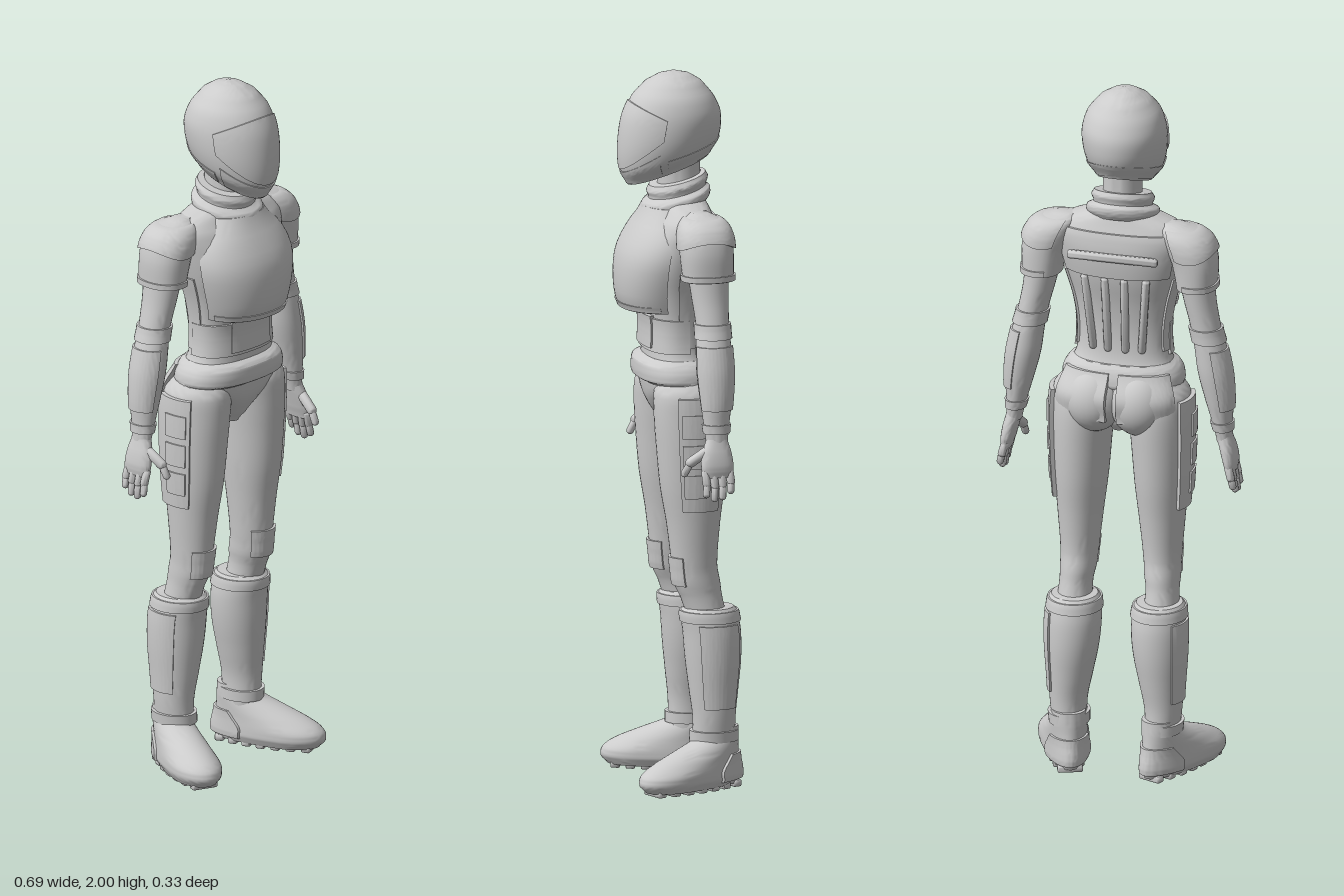
import * as THREE from 'three';
import { toCreasedNormals } from 'three/addons/utils/BufferGeometryUtils.js';
import { RoundedBoxGeometry } from 'three/addons/geometries/RoundedBoxGeometry.js';

const V = (x, y, z) => new THREE.Vector3(x, y, z);
const spow = (v, p) => Math.sign(v) * Math.abs(v) ** p;
const at = (f, a) => (typeof f === 'function' ? f(a) : f);

// Cross-section rows, bottom to top: [y, centreX, radiusX, frontZ, backZ, midZ?, tilt?]
const rowsOf = (list) => list.map(([y, cx, rx, f, b, mid = (f + b) / 2, tilt = 0]) => [y, cx, rx, f, b, mid, tilt]);

// Smoothly interpolated cross-section at height y
function sample(rows, y) {
  let i = 0;
  while (i < rows.length - 2 && y > rows[i + 1][0]) i++;
  const t = (y - rows[i][0]) / (rows[i + 1][0] - rows[i][0]);
  const p = [i - 1, i, i + 1, i + 2].map((k) => rows[Math.min(Math.max(k, 0), rows.length - 1)]);
  return p[1].map((v, c) => v + 0.5 * t * (p[2][c] - p[0][c]
    + t * (2 * p[0][c] - 5 * v + 4 * p[2][c] - p[3][c] + t * (3 * (v - p[2][c]) + p[3][c] - p[0][c]))));
}

// Point on a section at angle a (0 is the front, positive towards +x)
function point(rows, y, a, grow, pw) {
  const [, cx, rx, f, b, mid, tilt] = sample(rows, y);
  const c = spow(Math.cos(a), pw);
  const z = mid + c * (c > 0 ? f - mid + grow : mid - b + grow);
  return [cx + spow(Math.sin(a), pw) * (rx + grow), y - tilt * z, z];
}

function grid(fn, rows, cols) {
  const pos = [], idx = [];
  for (let i = 0; i <= rows; i++) for (let j = 0; j <= cols; j++) pos.push(...fn(i, j));
  for (let i = 0; i < rows; i++) for (let j = 0; j < cols; j++) {
    const a = i * (cols + 1) + j, d = a + cols + 1;
    idx.push(a, a + 1, d + 1, a, d + 1, d);
  }
  const g = new THREE.BufferGeometry();
  g.setAttribute('position', new THREE.Float32BufferAttribute(pos, 3));
  g.setIndex(idx);
  return g;
}

// Closed body through the rows, capped at both ends
function loft(list, pw = 1, cols = 36, steps = 4) {
  const rows = rowsOf(list), ys = [];
  for (let i = 0; i < rows.length - 1; i++)
    for (let s = 0; s < steps; s++) ys.push(rows[i][0] + (rows[i + 1][0] - rows[i][0]) * s / steps);
  ys.push(rows.at(-1)[0]);
  const n = ys.length;
  return grid((i, j) => {
    const k = Math.min(Math.max(i - 1, 0), n - 1);
    const p = point(rows, ys[k], (j % cols) / cols * Math.PI * 2, 0, pw);
    if (i > 0 && i <= n) return p;
    const s = sample(rows, ys[k]);
    return [s[1], ys[k] - s[6] * s[5], s[5]];
  }, n + 1, cols);
}

// Raised plate over part of a body; its rim folds inwards
function shell(list, y0, y1, a0, a1, grow, { pw = 1, inset = 0.015, nv = 14, nu = 30 } = {}) {
  const rows = rowsOf(list);
  return grid((i, j) => {
    const u = Math.min(Math.max((j - 1) / (nu - 2), 0), 1), v = Math.min(Math.max((i - 1) / (nv - 2), 0), 1);
    const a = a0 + (a1 - a0) * u, lo = at(y0, a), hi = at(y1, a);
    const rim = i === 0 || i === nv || j === 0 || j === nu;
    return point(rows, lo + (hi - lo) * v, a, rim ? grow - inset : grow, pw);
  }, nv, nu);
}

// Rounded limb between two points
function rod(a, b, r) {
  const d = b.clone().sub(a), g = new THREE.CapsuleGeometry(r, d.length(), 5, 12);
  g.applyQuaternion(new THREE.Quaternion().setFromUnitVectors(V(0, 1, 0), d.normalize()));
  return g.translate(...a.clone().add(b).multiplyScalar(0.5));
}
const ball = (x, y, z, rx, ry, rz) => new THREE.SphereGeometry(1, 28, 18).scale(rx, ry, rz).translate(x, y, z);
const box = (w, h, d, x, y, z, r = 0.008) => new RoundedBoxGeometry(w, h, d, 3, r).translate(x, y, z);

// Mirror across x = 0, keeping faces outward
function mirrored(g) {
  const m = g.clone().scale(-1, 1, 1);
  for (const name of ['position', 'normal']) {
    const { array } = m.attributes[name];
    for (let i = 0; i < array.length; i += 9)
      for (let c = 3; c < 6; c++) [array[i + c], array[i + c + 3]] = [array[i + c + 3], array[i + c]];
  }
  return m;
}

export function createModel() {
  const root = new THREE.Group();
  const mat = new THREE.MeshStandardMaterial({ color: 0xcccccc, side: THREE.DoubleSide });
  const put = (name, g) => {
    g.deleteAttribute('uv');
    const geo = toCreasedNormals(g, 0.75), mesh = new THREE.Mesh(geo, mat);
    mesh.name = name;
    root.add(mesh);
    return geo;
  };
  const pair = (name, g) => {
    const mesh = new THREE.Mesh(mirrored(put('left ' + name, g)), mat);
    mesh.name = 'right ' + name;
    root.add(mesh);
  };

  // Helmet, visor and rim
  const helmet = [[1.73, 0, 0.07, 0.13, -0.1, 0, 0.35], [1.77, 0, 0.1, 0.15, -0.124, 0.01, 0.3],
    [1.82, 0, 0.114, 0.154, -0.132, 0.01, 0.18], [1.88, 0, 0.116, 0.143, -0.13, 0, 0.05],
    [1.93, 0, 0.102, 0.117, -0.11, 0, 0], [1.97, 0, 0.07, 0.08, -0.077], [1.99, 0, 0.038, 0.044, -0.044], [2, 0, 0.004, 0.005, -0.005]];
  put('helmet', loft(helmet, 1, 48));
  put('visor', shell(helmet, (a) => 1.775 + 0.035 * a * a, (a) => 1.92 - 0.025 * a * a, -1.25, 1.25, 0.004));
  put('chin guard', shell(helmet, 1.735, (a) => 1.768 + 0.02 * a * a, -1.2, 1.2, 0.003));
  put('helmet rear rim', shell(helmet, 1.735, 1.775, 1.35, Math.PI * 2 - 1.35, 0.003));

  // Neck and tilted collar
  put('neck', loft([[1.6, 0, 0.06, 0.05, -0.08], [1.7, 0, 0.054, 0.045, -0.075], [1.79, 0, 0.055, 0.05, -0.075]]));
  put('collar', loft([[1.615, 0, 0.09, 0.075, -0.09, -0.01, 0.25], [1.63, 0, 0.102, 0.09, -0.1, -0.01, 0.25],
    [1.65, 0, 0.1, 0.088, -0.1, -0.01, 0.25], [1.66, 0, 0.083, 0.07, -0.09, -0.01, 0.25],
    [1.68, 0, 0.088, 0.075, -0.095, -0.01, 0.25], [1.695, 0, 0.08, 0.068, -0.088, -0.01, 0.25]]));

  // Torso with chest, waist and back armour
  const torso = [[1.1, 0, 0.16, 0.08, -0.1], [1.16, 0, 0.16, 0.085, -0.1], [1.22, 0, 0.133, 0.082, -0.078],
    [1.3, 0, 0.128, 0.08, -0.073], [1.38, 0, 0.14, 0.095, -0.082], [1.46, 0, 0.163, 0.11, -0.1],
    [1.54, 0, 0.182, 0.095, -0.108], [1.59, 0, 0.19, 0.07, -0.102], [1.62, 0, 0.16, 0.05, -0.09],
    [1.645, 0, 0.095, 0.04, -0.08], [1.66, 0, 0.05, 0.02, -0.06]];
  put('torso', loft(torso, 0.85, 48));
  const chest = [[1.34, 0, 0.132, 0.15, -0.09], [1.37, 0, 0.142, 0.162, -0.09], [1.44, 0, 0.16, 0.165, -0.09],
    [1.5, 0, 0.168, 0.155, -0.09], [1.56, 0, 0.152, 0.125, -0.09], [1.625, 0, 0.1, 0.088, -0.09]];
  put('chest plate', shell(chest, 1.34, 1.625, -1.45, 1.45, 0, { inset: 0.06, pw: 0.9 }));
  put('chest plate lower trim', shell(chest, 1.342, 1.358, -1.3, 1.3, 0.004, { pw: 0.9, nv: 5 }));
  put('waist band', shell(torso, 1.225, 1.318, -1.7, 1.7, 0.008, { pw: 0.85 }));
  put('abdomen plate', shell(torso, 1.235, 1.325, -0.5, 0.5, 0.014, { pw: 0.85 }));
  put('upper back plate', shell(torso, 1.47, 1.6, Math.PI - 1, Math.PI + 1, 0.007, { pw: 0.85 }));
  put('back bar', box(0.26, 0.024, 0.02, 0, 1.535, -0.117));
  for (let i = 0; i < 2; i++) pair('back rib', rod(V(0.028 + i * 0.06, 1.46, -0.096 + i * 0.008), V(0.025 + i * 0.045, 1.25, -0.074 + i * 0.008), 0.011));
  pair('side strap', shell(torso, 1.24, 1.46, 1.45, 2, 0.006, { pw: 0.85, nu: 8 }));

  // Belt, pelvis and seat
  put('belt', loft([[1.135, 0, 0.16, 0.09, -0.1], [1.145, 0, 0.172, 0.108, -0.112], [1.175, 0, 0.168, 0.11, -0.108],
    [1.195, 0, 0.155, 0.106, -0.1], [1.205, 0, 0.14, 0.088, -0.09]], 0.85));
  put('pelvis', loft([[1.005, 0, 0.025, 0.03, -0.07], [1.03, 0, 0.045, 0.05, -0.09], [1.08, 0, 0.1, 0.078, -0.1],
    [1.12, 0, 0.165, 0.088, -0.11], [1.15, 0, 0.172, 0.09, -0.105]], 0.9));
  pair('buttock', ball(0.065, 1.095, -0.068, 0.085, 0.095, 0.082));
  const seat = [[1.06, 0, 0.18, 0.05, -0.138], [1.12, 0, 0.178, 0.05, -0.146], [1.19, 0, 0.155, 0.05, -0.108]];
  pair('seat flap', shell(seat, (a) => 1.05 + 0.02 * (Math.PI - a), 1.185, Math.PI - 1.25, Math.PI - 0.05, 0, { inset: 0.02, pw: 0.8 }));

  // Legs
  const leg = [[0.47, 0.125, 0.05, -0.01, -0.12], [0.54, 0.124, 0.046, 0.012, -0.105], [0.58, 0.121, 0.05, 0.03, -0.1],
    [0.63, 0.119, 0.053, 0.036, -0.092], [0.75, 0.117, 0.064, 0.05, -0.101], [0.85, 0.115, 0.074, 0.067, -0.114],
    [0.96, 0.113, 0.081, 0.077, -0.122], [1.06, 0.109, 0.086, 0.083, -0.125], [1.12, 0.103, 0.088, 0.08, -0.115], [1.16, 0.09, 0.07, 0.06, -0.09]];
  pair('leg', loft(leg));
  pair('knee cap', shell(leg, 0.575, 0.655, -0.9, 0.9, 0.007));
  pair('thigh panel', shell(leg, 0.79, 1.11, 1.05, 2.2, 0.012, { inset: 0.025 }));
  for (let i = 0; i < 3; i++) pair('thigh pouch', shell(leg, 0.83 + i * 0.085, 0.895 + i * 0.085, 1.15, 1.75, 0.017));

  // Boots
  const shin = [[0.12, 0.133, 0.047, -0.02, -0.14], [0.2, 0.136, 0.052, -0.02, -0.14], [0.27, 0.131, 0.061, -0.012, -0.148],
    [0.36, 0.125, 0.073, -0.002, -0.158], [0.44, 0.122, 0.077, 0.004, -0.158], [0.5, 0.122, 0.072, 0.01, -0.148], [0.51, 0.122, 0.064, 0, -0.138]];
  pair('boot shaft', loft(shin));
  pair('boot top cuff', shell(shin, 0.472, 0.502, 0, Math.PI * 2, 0.005, { nv: 6, nu: 40 }));
  pair('calf plate', shell(shin, 0.23, 0.465, 0.95, 2.4, 0.006));
  pair('ankle cuff', shell(shin, 0.135, 0.165, 0, Math.PI * 2, 0.009, { nv: 6, nu: 40 }));
  const toFoot = (g) => g.rotateY(0.38).translate(0.128, 0, -0.105);
  const shoe = [[0.012, 0, 0.058, 0.255, -0.052, 0.16], [0.03, 0, 0.068, 0.272, -0.06, 0.16], [0.055, 0, 0.069, 0.268, -0.058, 0.16],
    [0.08, 0, 0.063, 0.235, -0.052, 0.11], [0.11, 0, 0.056, 0.165, -0.048, 0.05], [0.14, 0, 0.05, 0.09, -0.046, 0.01], [0.175, 0, 0.046, 0.055, -0.044, 0]];
  pair('shoe', toFoot(loft(shoe)));
  pair('heel guard', toFoot(shell(shoe, 0.025, 0.1, Math.PI - 1, Math.PI + 1, 0.007)));
  for (let i = 0; i < 7; i++) {
    const z = -0.03 + i * 0.043;
    pair('sole tread', toFoot(box(0.07 + 0.035 * Math.sin(i * 0.5), 0.02, 0.026, 0, 0.011, z, 0.005)));
  }

  // Arms and shoulder armour
  const arm = [[1.0, 0.303, 0.022, -0.015, -0.075], [1.05, 0.296, 0.027, -0.01, -0.08], [1.12, 0.288, 0.039, -0.002, -0.09],
    [1.2, 0.275, 0.047, 0.005, -0.097], [1.27, 0.263, 0.045, 0.004, -0.095], [1.32, 0.251, 0.042, 0, -0.092],
    [1.4, 0.233, 0.044, 0.008, -0.095], [1.5, 0.215, 0.052, 0.02, -0.1], [1.57, 0.2, 0.06, 0.024, -0.1], [1.61, 0.18, 0.05, 0.01, -0.085]];
  pair('arm', loft(arm, 1, 28));
  pair('elbow band', shell(arm, 1.295, 1.335, 0, Math.PI * 2, 0.006, { nv: 8 }));
  pair('forearm guard', shell(arm, 1.1, 1.275, 0.3, 2.9, 0.005));
  pair('wrist band', shell(arm, 1.035, 1.06, 0, Math.PI * 2, 0.005, { nv: 6 }));
  const pad = [[1.45, 0.222, 0.055, 0.03, -0.112], [1.52, 0.216, 0.063, 0.036, -0.113], [1.565, 0.204, 0.068, 0.036, -0.112],
    [1.595, 0.19, 0.066, 0.028, -0.104], [1.615, 0.175, 0.055, 0.012, -0.088], [1.628, 0.155, 0.03, -0.01, -0.06]];
  pair('shoulder sleeve', loft(pad, 0.9, 32));
  pair('shoulder cap', shell(pad, (a) => 1.55 - 0.012 * Math.cos(2 * a), 1.618, -0.5, 3.6, 0.007, { pw: 0.9 }));
  pair('sleeve hem', shell(pad, 1.452, 1.468, -0.4, 3.5, 0.005, { pw: 0.9, nv: 6 }));

  // Hands
  pair('palm', loft([[0.915, 0.322, 0.012, -0.002, -0.084], [0.94, 0.32, 0.018, 0.004, -0.088], [0.98, 0.312, 0.021, 0, -0.084], [1.02, 0.302, 0.021, -0.015, -0.074]], 0.85, 24));
  for (let i = 0; i < 4; i++) {
    const z = -0.076 + i * 0.023, drop = [0.02, 0.004, 0, 0.012][i];
    pair('finger', rod(V(0.321, 0.93, z), V(0.329, 0.892 + drop / 2, z - 0.002), 0.0115));
    pair('fingertip', rod(V(0.329, 0.892 + drop / 2, z - 0.002), V(0.334, 0.858 + drop, z), 0.01));
  }
  pair('thumb', rod(V(0.308, 0.985, -0.012), V(0.3, 0.955, 0.03), 0.014));
  pair('thumb tip', rod(V(0.3, 0.955, 0.03), V(0.297, 0.925, 0.046), 0.0105));

  return root;
}
